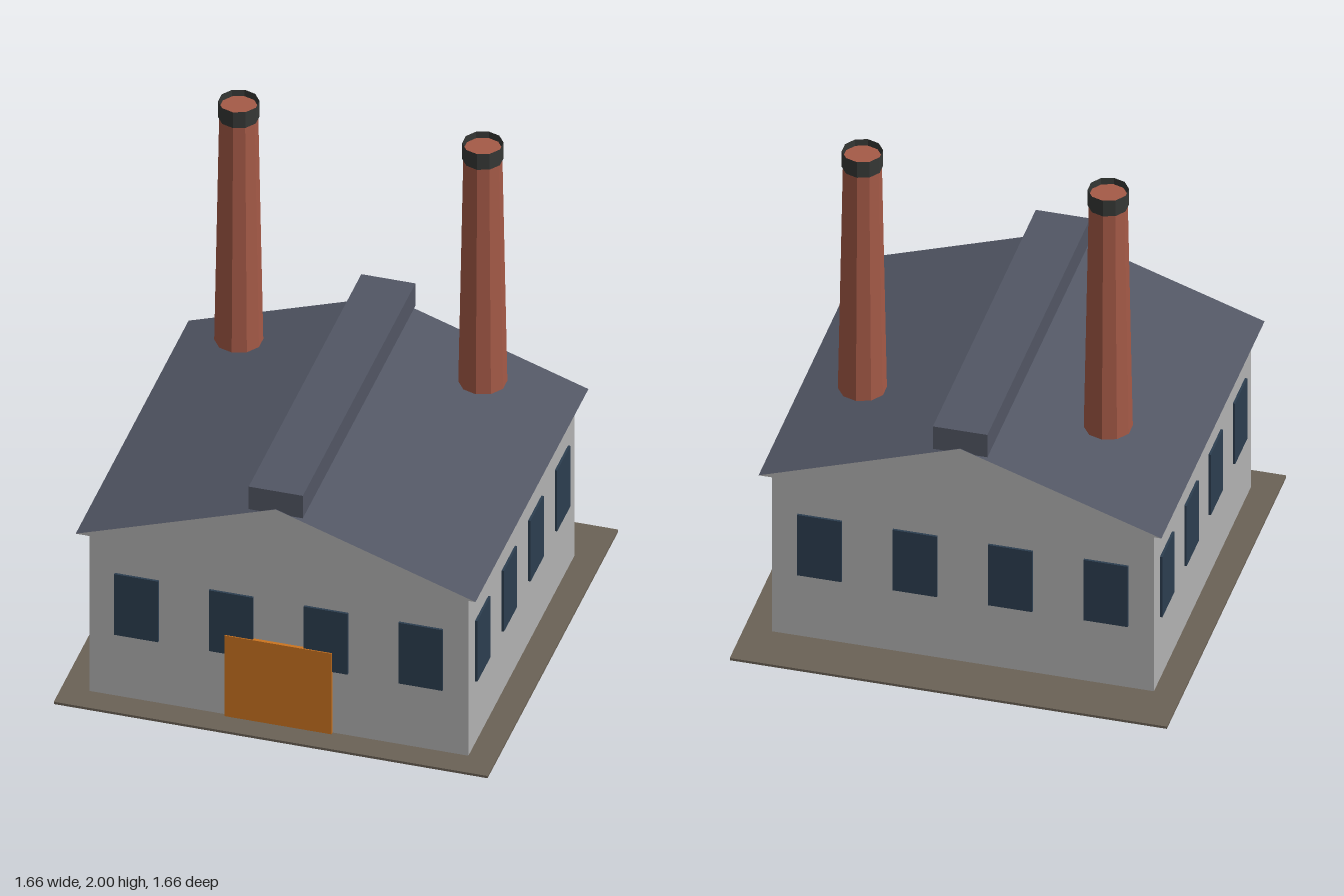
import * as THREE from 'three';

function material(name, color) {
  const m = new THREE.MeshStandardMaterial({ color });
  m.name = name;
  return m;
}

export function createModel() {
  const model = new THREE.Group();
  model.name = 'factory';

  const ground = material('ground brown', 0x6b6256);
  const wall = material('wall grey', 0xb2b2b2);
  const slate = material('roof slate', 0x525664);
  const glass = material('window blue', 0x2c3e50);
  const orange = material('door orange', 0xcb7420);
  const brick = material('chimney brick', 0xa55a47);
  const soot = material('chimney cap', 0x363836);
  soot.side = THREE.DoubleSide;

  function add(name, geometry, mat, x, y, z, parent = model) {
    const mesh = new THREE.Mesh(geometry, mat);
    mesh.name = name;
    mesh.position.set(x, y, z);
    parent.add(mesh);
    return mesh;
  }
  const box = (w, h, d) => new THREE.BoxGeometry(w, h, d);

  const width = 1.45, depth = 1.35, midZ = 0.05;

  // Ground slab and main hall
  add('groundSlab', box(1.66, 0.01, 1.66), ground, 0, 0.005, 0);
  add('hall', box(width, 0.725, depth), wall, 0, 0.3675, midZ);

  // Gabled roof: grey gable ends, slate slopes and underside
  const gable = new THREE.Shape();
  gable.moveTo(-0.765, 0.73);
  gable.lineTo(0.765, 0.73);
  gable.lineTo(0, 0.99);
  gable.closePath();
  const roofDepth = 1.435;
  const roofGeometry = new THREE.ExtrudeGeometry(gable, { depth: roofDepth, bevelEnabled: false });
  add('roof', roofGeometry, [wall, slate], 0, 0, midZ - roofDepth / 2);

  // Ridge vent, ends just behind the gable faces
  add('ridgeVent', box(0.207, 0.1, roofDepth - 0.004), slate, 0, 1.02, midZ);

  // Four windows on every wall
  const windows = new THREE.Group();
  windows.name = 'windows';
  model.add(windows);
  const plate = 0.009;
  for (let i = 0; i < 4; i++) {
    const x = (i - 1.5) * width / 4;
    const z = midZ + (i - 1.5) * depth / 4;
    for (const s of [-1, 1]) {
      add('endWindow', box(0.168, 0.27, plate), glass, x, 0.42, midZ + s * (depth / 2 + plate / 2), windows);
      add('sideWindow', box(plate, 0.27, 0.168), glass, s * (width / 2 + plate / 2), 0.42, z, windows);
    }
  }

  // Loading door, slightly proud of the windows
  add('door', box(0.41, 0.363, 0.014), orange, 0, 0.1875, midZ + depth / 2 + 0.006);

  // Two tapered chimneys with open dark caps
  for (const s of [-1, 1]) {
    const chimney = new THREE.Group();
    chimney.name = s > 0 ? 'leftChimney' : 'rightChimney';
    chimney.position.set(s * 0.467, 0, -0.315);
    model.add(chimney);
    const shaft = new THREE.CylinderGeometry(0.071, 0.09, 1.035, 10).toNonIndexed();
    const cap = new THREE.CylinderGeometry(0.076, 0.076, 0.07, 10, 1, true).toNonIndexed();
    shaft.computeVertexNormals();
    cap.computeVertexNormals();
    add('shaft', shaft, brick, 0, 0.94 + 1.035 / 2, 0, chimney);
    add('cap', cap, soot, 0, 1.965, 0, chimney);
  }

  return model;
}
